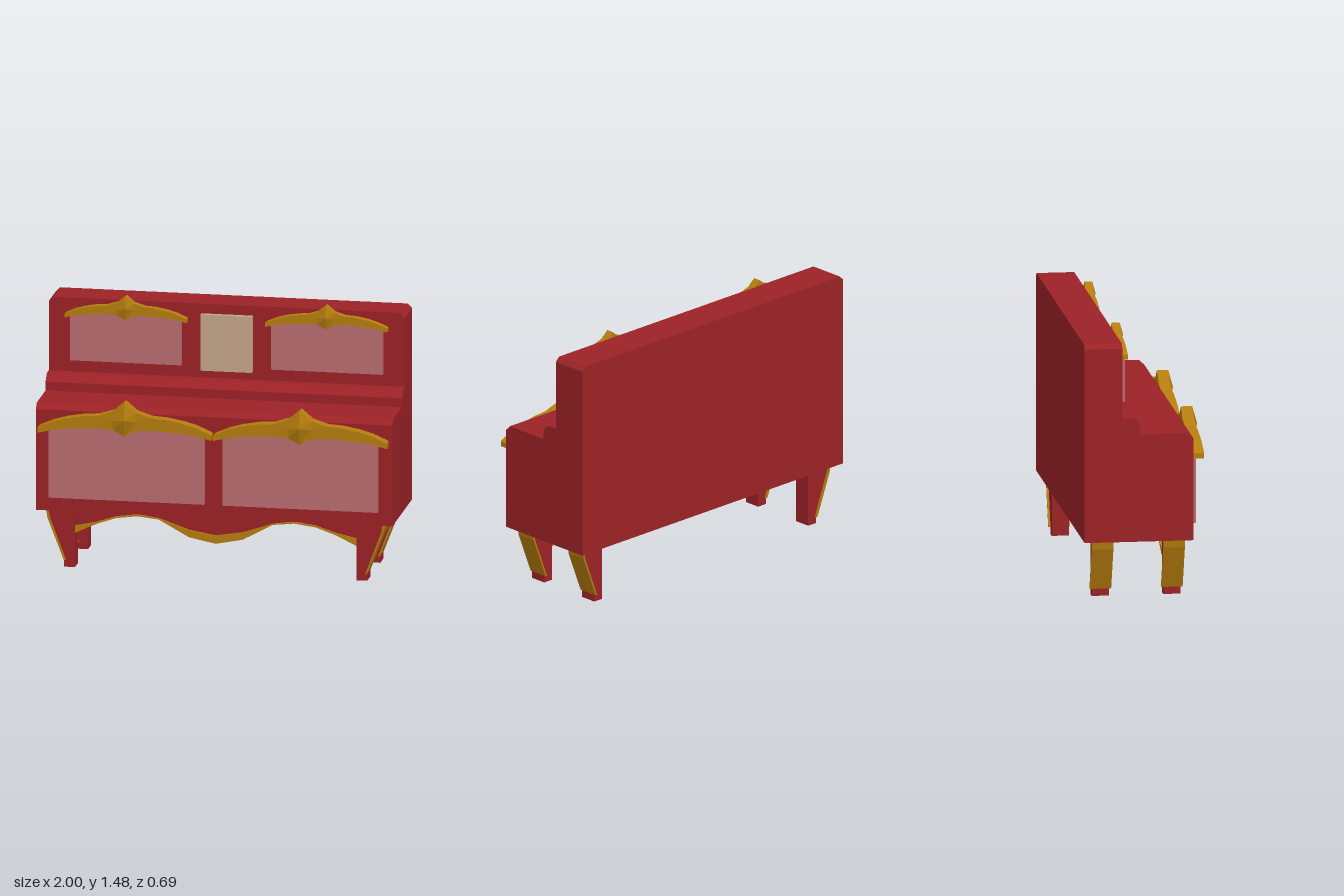
import * as THREE from 'three';

const paint = (color) => new THREE.MeshStandardMaterial({ color, flatShading: true });

// Straight prism: an outline in x/y pushed from z0 to z1
function prism(points, z0, z1) {
  const shape = new THREE.Shape(points.map(([x, y]) => new THREE.Vector2(x, y)));
  const geo = new THREE.ExtrudeGeometry(shape, { depth: z1 - z0, bevelEnabled: false });
  return geo.translate(0, 0, z0);
}

// Carved crest: five-sided sections along x, with a pointed ridge in the middle
function crestGeometry() {
  // distance from centre, top, bottom, ridge depth
  const half = [
    [0.4875, 0.03, 0, 0.063], [0.475, 0.038, 0.005, 0.063], [0.4, 0.07, 0.022, 0.063],
    [0.33, 0.09, 0.032, 0.063], [0.23, 0.108, 0.039, 0.063], [0.15, 0.113, 0.042, 0.063],
    [0.065, 0.14, 0.037, 0.065],
  ];
  const sections = [
    ...half.map(([x, ...r]) => [-x, ...r]),
    [0, 0.195, 0.003, 0.09],
    ...half.slice().reverse(),
  ];
  const pos = [], idx = [], n = 5, f = 0.063;
  for (const [x, top, bot, ridge] of sections) {
    pos.push(x, bot, 0, x, bot, f, x, (top + bot) / 2, ridge, x, top, f, x, top, 0);
  }
  for (let s = 0; s < sections.length - 1; s++) {
    for (let i = 0; i < n; i++) {
      const a = s * n + i, b = s * n + (i + 1) % n, c = b + n, d = a + n;
      idx.push(a, d, c, a, c, b);
    }
  }
  const last = (sections.length - 1) * n;
  for (let i = 1; i < n - 1; i++) {
    idx.push(0, i, i + 1, last, last + i + 1, last + i);
  }
  const geo = new THREE.BufferGeometry();
  geo.setAttribute('position', new THREE.Float32BufferAttribute(pos, 3));
  geo.setIndex(idx);
  const flat = geo.toNonIndexed();
  flat.computeVertexNormals();
  return flat;
}

export function createModel() {
  const group = new THREE.Group();
  const red = paint(0x9c2226), gold = paint(0xb57d0e);
  const pink = paint(0xb86c6f), tan = paint(0xc6a688);

  const add = (name, geo, mat) => {
    const mesh = new THREE.Mesh(geo, mat);
    mesh.name = name;
    group.add(mesh);
    return mesh;
  };
  const box = (name, mat, x0, x1, y0, y1, z0, z1) =>
    add(name, new THREE.BoxGeometry(x1 - x0, y1 - y0, z1 - z0), mat)
      .position.set((x0 + x1) / 2, (y0 + y1) / 2, (z0 + z1) / 2);

  // Case: stepped side profile (z, y) run across the full width
  const profile = [
    [-0.345, 0.33], [0.26, 0.33], [0.26, 0.905], [0.23, 0.935], [-0.035, 0.935],
    [-0.035, 0.985], [-0.075, 1.025], [-0.135, 1.025], [-0.135, 1.42], [-0.345, 1.42],
  ];
  add('case', prism(profile, -1, 1).rotateY(-Math.PI / 2), red);

  // Lid with chamfered ends
  add('lid', prism([[-1, 1.42], [1, 1.42], [0.975, 1.445], [-0.975, 1.445]], -0.345, -0.135), red);

  // Music panel in the centre
  box('centrePanel', tan, -0.145, 0.145, 1.07, 1.39, -0.135, -0.107);

  // Coloured panels with a crest above each
  const crest = crestGeometry();
  for (const s of [-1, 1]) {
    const span = (a, b) => (s > 0 ? [a, b] : [-b, -a]);
    box('upperPanel', pink, ...span(0.253, 0.877), 1.095, 1.365, -0.135, -0.105);
    box('lowerPanel', pink, ...span(0.052, 0.923), 0.41, 0.83, 0.26, 0.286);
    add('lowerCrest', crest, gold).position.set(s * 0.4925, 0.785, 0.26);
    const upper = add('upperCrest', crest, gold);
    upper.position.set(s * 0.5625, 1.34, -0.135);
    upper.scale.setScalar(0.702);
  }

  // Legs: tapered bracket, small foot and a gilded strip down the outer edge
  const outer = [[0.95, 0.33], [0.943, 0.28], [0.85, 0.04]];
  for (const s of [-1, 1]) {
    for (const z of [0.161, -0.237]) {
      const flip = (pts) => pts.map(([x, y]) => [x * s, y]);
      const leg = [[0.79, 0.33], [0.79, 0], [0.85, 0], [0.85, 0.04], [0.931, 0.28], [0.938, 0.33]];
      add('leg', prism(flip(leg), z - 0.048, z + 0.048), red);
      const strip = [...outer, [0.84, 0.04], [0.931, 0.28], [0.938, 0.33]];
      add('legTrim', prism(flip(strip), z - 0.06, z + 0.06), gold);
    }
  }

  // Front apron: x, red lower edge, gold lower edge
  const wave = [
    [0, 0.215, 0.17], [0.15, 0.24, 0.2], [0.32, 0.298, 0.293], [0.44, 0.315, 0.306],
    [0.56, 0.298, 0.29], [0.67, 0.262, 0.252], [0.79, 0.235, 0.195],
  ];
  const full = [...wave.slice(1).reverse().map(([x, a, b]) => [-x, a, b]), ...wave];
  const redEdge = full.map(([x, a]) => [x, a]);
  const goldEdge = full.map(([x, , b]) => [x, b]);
  add('apron', prism([...redEdge, [0.79, 0.33], [-0.79, 0.33]], 0.13, 0.195), red);
  add('apronTrim', prism([...goldEdge, ...redEdge.slice().reverse()], 0.115, 0.208), gold);

  return group;
}
